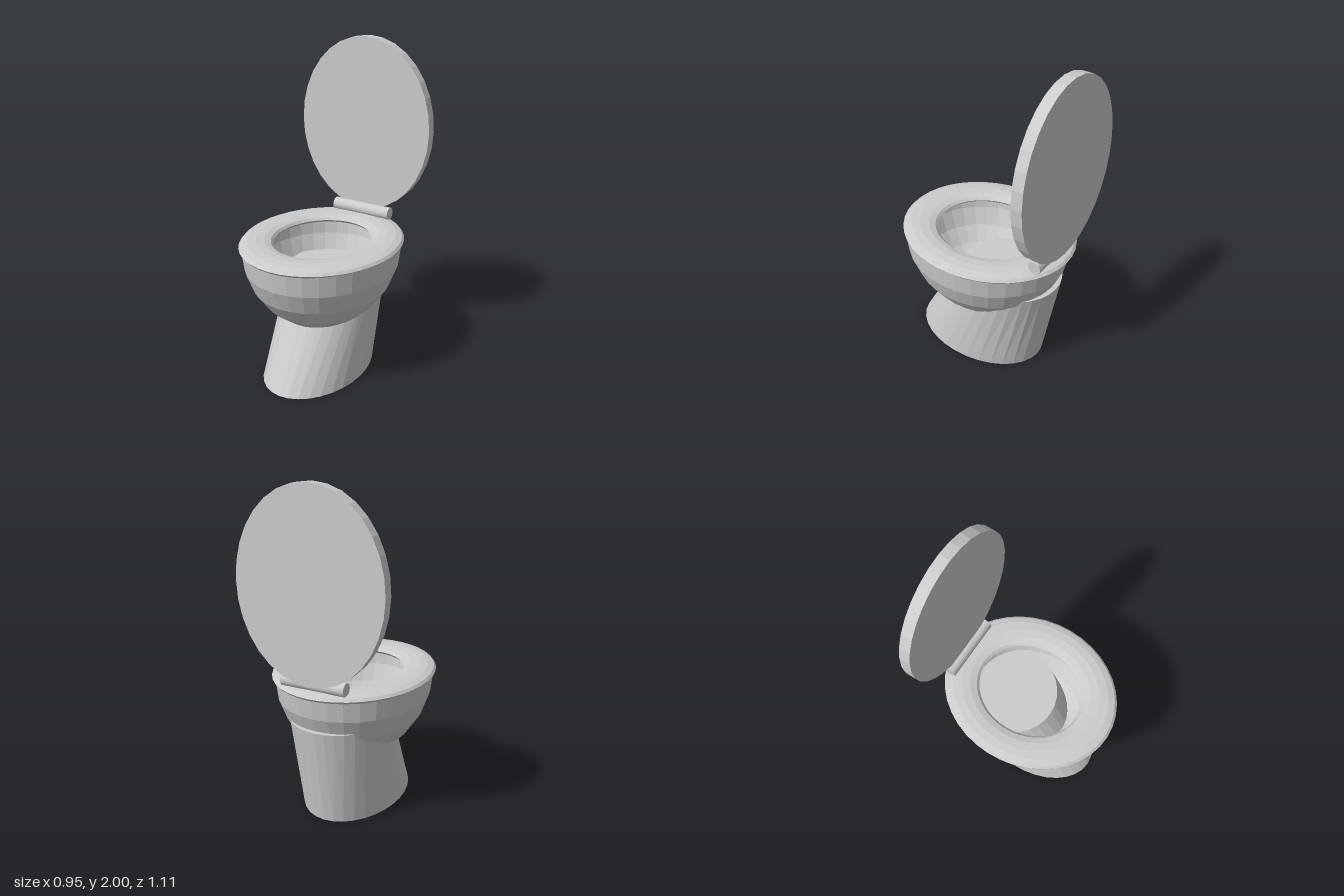
import * as THREE from 'three';

const porcelain = new THREE.MeshStandardMaterial({ color: 0xcccccc });
porcelain.name = 'porcelain';

// Faceted mesh: every face keeps its own normal
function faceted(name, geometry) {
  const flat = geometry.toNonIndexed();
  flat.computeVertexNormals();
  const mesh = new THREE.Mesh(flat, porcelain);
  mesh.name = name;
  return mesh;
}

// Points of a quarter ellipse from the bottom pole (0, -depth) up to the rim (radius, 0)
function bowlCurve(radius, depth, steps = 6) {
  return Array.from({ length: steps + 1 }, (_, i) => {
    const a = (i / steps) * Math.PI / 2;
    return new THREE.Vector2(radius * Math.sin(a), -depth * Math.cos(a));
  });
}

export function createModel() {
  const model = new THREE.Group();
  model.name = 'toilet';

  // Pedestal: an elliptical column whose front leans back towards the top
  const height = 0.61;
  const column = new THREE.CylinderGeometry(1, 1, height, 32);
  const p = column.attributes.position;
  for (let i = 0; i < p.count; i++) {
    const top = p.getY(i) > 0;
    p.setXYZ(i, p.getX(i) * 0.3, top ? height : 0,
      p.getZ(i) * (top ? 0.326 : 0.442) + (top ? -0.173 : 0.046));
  }
  const pedestal = faceted('pedestal', column);
  pedestal.position.x = 0.005;
  model.add(pedestal);

  // Hollow bowl: outer wall up to the rim, then down the inner wall
  const outer = bowlCurve(0.467, 0.53);
  const inner = bowlCurve(0.4, 0.47).reverse();
  const bowlGeometry = new THREE.LatheGeometry([...outer, ...inner], 32);
  bowlGeometry.scale(1, 1, 0.532 / 0.467);
  const bowl = faceted('bowl', bowlGeometry);
  bowl.position.set(0.005, 0.835, 0.008);
  model.add(bowl);

  // Seat: flattened oval ring
  const seatGeometry = new THREE.TorusGeometry(0.38, 0.097, 12, 40);
  seatGeometry.rotateX(-Math.PI / 2);
  seatGeometry.scale(1, 0.031 / 0.097, 0.557 / 0.477);
  const seat = faceted('seat', seatGeometry);
  seat.position.y = 0.84;
  model.add(seat);

  // Hinge bar across the back
  const hingeGeometry = new THREE.CylinderGeometry(0.04, 0.04, 0.4, 20);
  hingeGeometry.rotateZ(Math.PI / 2);
  const hinge = faceted('hinge', hingeGeometry);
  hinge.position.set(0.01, 0.897, -0.47);
  model.add(hinge);

  // Raised lid: thick oval disc, tipped very slightly forward
  const lidGeometry = new THREE.CylinderGeometry(1, 1, 0.068, 32);
  lidGeometry.rotateX(Math.PI / 2);
  lidGeometry.scale(0.451, 0.549, 1);
  const lid = faceted('lid', lidGeometry);
  lid.position.set(0.004, 1.451, -0.503);
  lid.rotation.x = 0.007;
  model.add(lid);

  return model;
}
